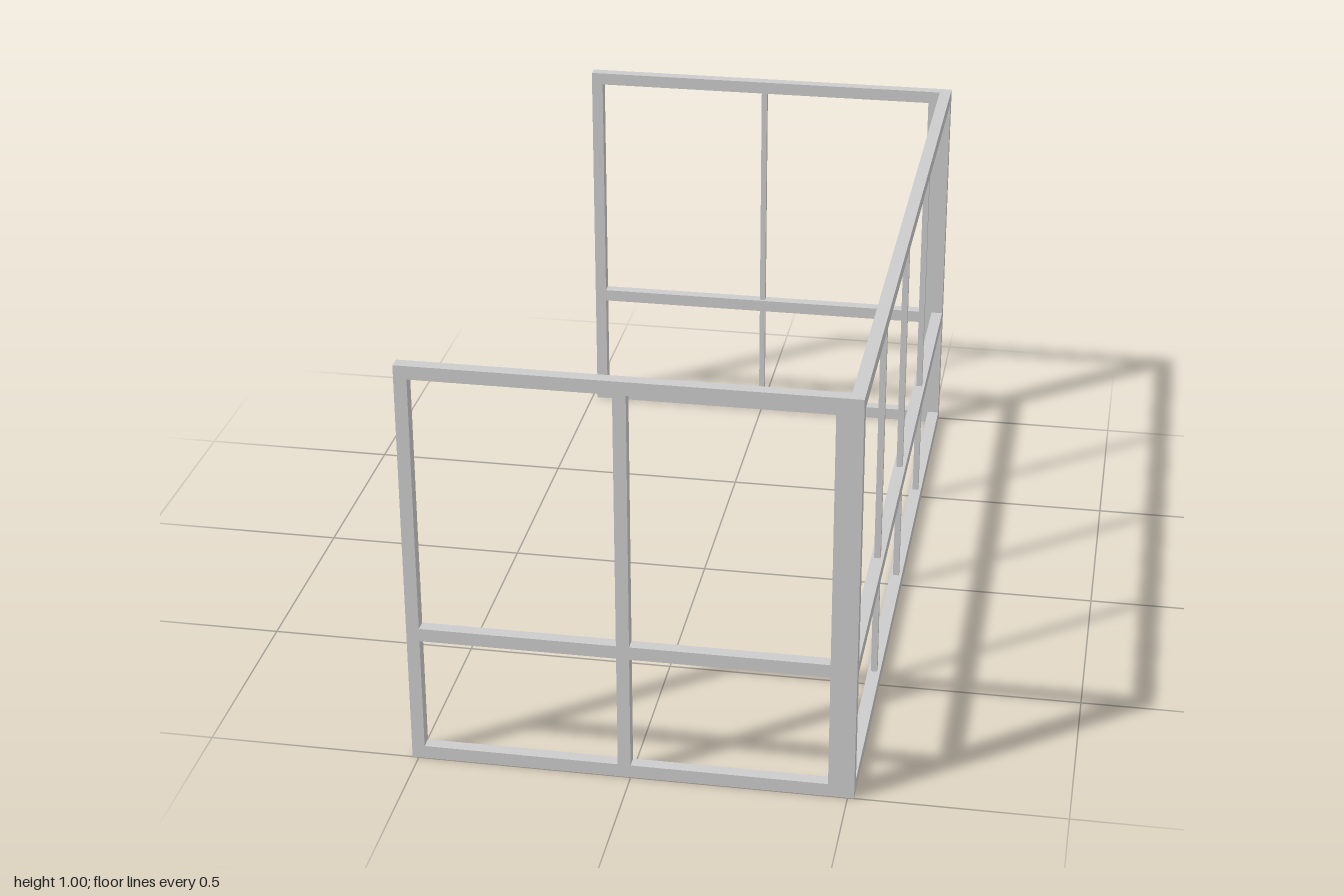
import * as THREE from 'three';

const T = 0.03;  // frame bar thickness
const H = 0.032; // rail height
const material = new THREE.MeshStandardMaterial({ color: 0xcccccc, flatShading: true });

// Box given by its extents on each axis
function bar(group, name, [x0, x1], [y0, y1], [z0, z1]) {
  const mesh = new THREE.Mesh(new THREE.BoxGeometry(x1 - x0, y1 - y0, z1 - z0), material);
  mesh.position.set((x0 + x1) / 2, (y0 + y1) / 2, (z0 + z1) / 2);
  mesh.name = name;
  group.add(mesh);
}

// Upright frame in the XY plane: two end posts, three rails and mullions between the rails
function frame(name, x0, x1, mullions, width, depth) {
  const group = new THREE.Group();
  group.name = name;
  const across = [-T / 2, T / 2];
  bar(group, 'endPost', [x0, x0 + T], [0, 1], across);
  bar(group, 'endPost', [x1 - T, x1], [0, 1], across);

  const rails = { bottomRail: [0, H], middleRail: [0.328 - H / 2, 0.328 + H / 2], topRail: [1 - H, 1] };
  for (const [rail, span] of Object.entries(rails)) bar(group, rail, [x0 + T, x1 - T], span, across);

  const gaps = { lowerMullion: [H, 0.328 - H / 2], upperMullion: [0.328 + H / 2, 1 - H] };
  for (const x of mullions)
    for (const [mullion, span] of Object.entries(gaps))
      bar(group, mullion, [x - width / 2, x + width / 2], span, [-depth / 2, depth / 2]);
  return group;
}

export function createModel() {
  const model = new THREE.Group();
  model.name = 'windowFrames';

  // Front and back returns
  const front = frame('frontFrame', -0.515, 0.485, [-0.015], T, T);
  front.position.z = 1 - T / 2;
  const back = frame('backFrame', -0.485, 0.485, [0], 0.015, 0.015);
  back.position.z = -1 + T / 2;

  // Long side joining them, with the corner posts at its ends
  const side = frame('sideFrame', -1, 1, [-0.485, 0, 0.485], 0.015, 0.015);
  side.rotation.y = Math.PI / 2;
  side.position.x = 0.5;

  model.add(front, back, side);
  return model;
}
